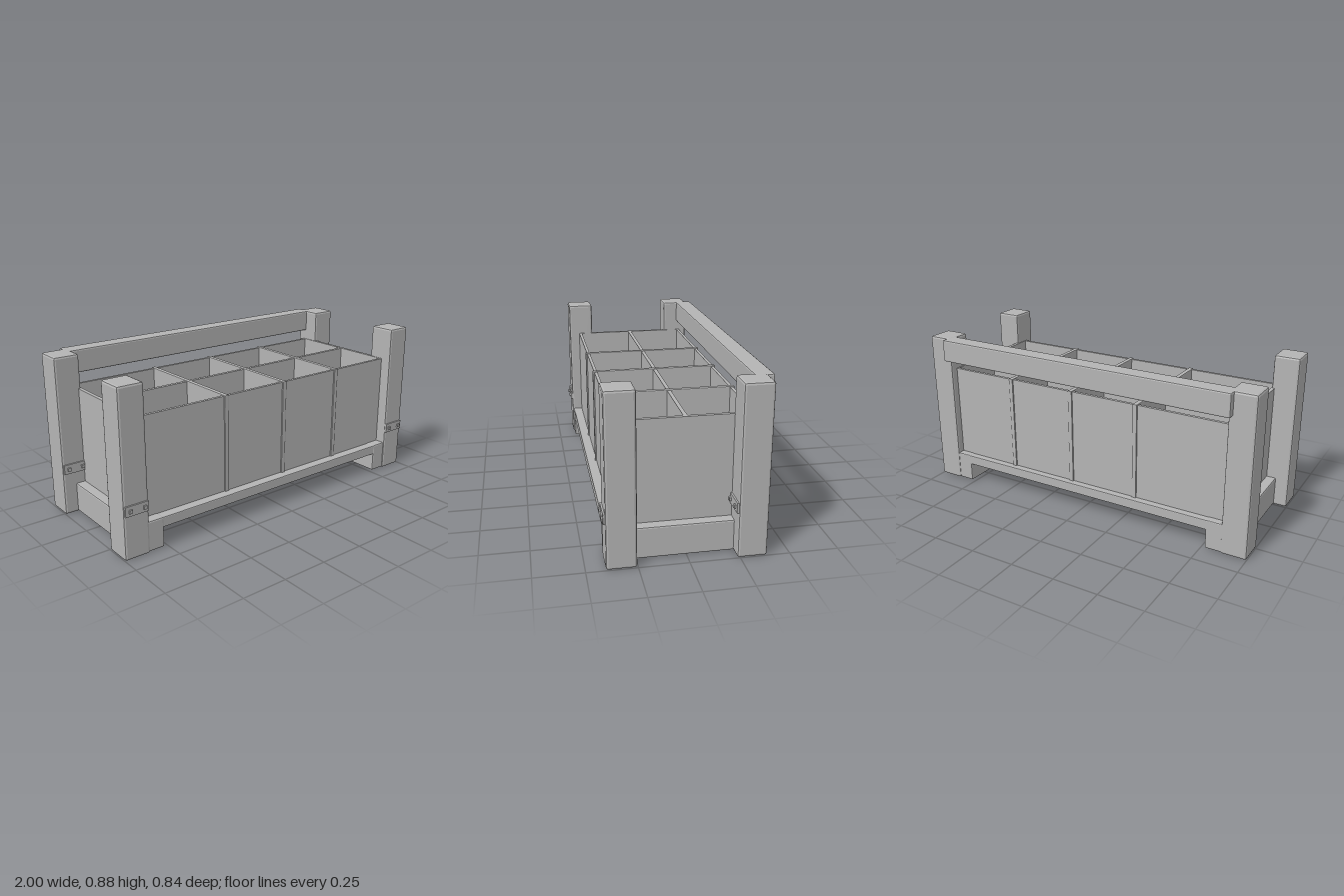
import * as THREE from 'three';
import { RoundedBoxGeometry } from 'three/addons/geometries/RoundedBoxGeometry.js';

const grey = new THREE.MeshStandardMaterial({ color: 0xb4b4b4 });
grey.name = 'plain grey';

// Box between two corners, optionally with a flat chamfer on every edge
function block(parent, name, [x0, x1], [y0, y1], [z0, z1], chamfer = 0) {
  const size = [x1 - x0, y1 - y0, z1 - z0];
  let geometry;
  if (chamfer) {
    geometry = new RoundedBoxGeometry(...size, 1, chamfer);
    if (geometry.index) geometry = geometry.toNonIndexed();
    geometry.computeVertexNormals();
  } else {
    geometry = new THREE.BoxGeometry(...size);
  }
  const mesh = new THREE.Mesh(geometry, grey);
  mesh.name = name;
  mesh.position.set((x0 + x1) / 2, (y0 + y1) / 2, (z0 + z1) / 2);
  parent.add(mesh);
  return mesh;
}

// Range mirrored to the chosen side of the model
const side = (s, a, b) => (s > 0 ? [a, b] : [-b, -a]);

// Uneven faceted filling at the bottom of the compartments
function filling() {
  let seed = 7;
  const random = () => (seed = (seed * 16807) % 2147483647) / 2147483647;
  let geometry = new THREE.PlaneGeometry(1.71, 0.66, 30, 12).rotateX(-Math.PI / 2);
  const p = geometry.attributes.position;
  for (let i = 0; i < p.count; i++) p.setY(i, (random() - 0.5) * 0.03);
  geometry = geometry.toNonIndexed();
  geometry.computeVertexNormals();
  const mesh = new THREE.Mesh(geometry, grey);
  mesh.name = 'filling';
  mesh.position.y = 0.4;
  return mesh;
}

export function createModel() {
  const model = new THREE.Group();
  model.name = 'planterCrate';

  // Base plate with a runner under each end
  block(model, 'basePlate', [-0.9, 0.9], [0.11, 0.165], [-0.38, 0.395], 0.005);
  for (const s of [1, -1]) {
    block(model, 'endRunner', side(s, 0.77, 0.925), [0.003, 0.167], [-0.38, 0.397], 0.008);
  }

  // Corner posts, each with a bolted strap on its front face
  const posts = new THREE.Group();
  posts.name = 'cornerPosts';
  model.add(posts);
  for (const s of [1, -1]) {
    for (const z of [0.404, -0.235]) {
      block(posts, 'post', side(s, 0.857, 1), [0, 0.885], [z - 0.15, z], 0.012);
      block(posts, 'strap', side(s, 0.862, 0.992), [0.237, 0.29], [z - 0.005, z + 0.009]);
      for (const x of [0.885, 0.965]) {
        block(posts, 'bolt', side(s, x - 0.009, x + 0.009), [0.254, 0.272], [z, z + 0.018]);
      }
    }
  }

  // Top rail across the back
  block(model, 'backRail', [-0.88, 0.88], [0.757, 0.884], [-0.42, -0.323], 0.008);

  // Thin outer walls
  const walls = new THREE.Group();
  walls.name = 'walls';
  model.add(walls);
  for (const s of [1, -1]) {
    block(walls, 'endWall', side(s, 0.852, 0.872), [0.16, 0.698], [-0.342, 0.342]);
    block(walls, 'longWall', [-0.865, 0.865], [0.16, 0.697], side(s, 0.325, 0.342));
  }

  // Dividers: one lengthways, three crossways that show on the outside
  block(model, 'longDivider', [-0.855, 0.855], [0.16, 0.697], [-0.01, 0.01]);
  for (const x of [-0.335, 0.064, 0.46]) {
    block(model, 'crossDivider', [x - 0.013, x + 0.013], [0.16, 0.701], [-0.35, 0.35], 0.004);
  }

  model.add(filling());
  return model;
}
